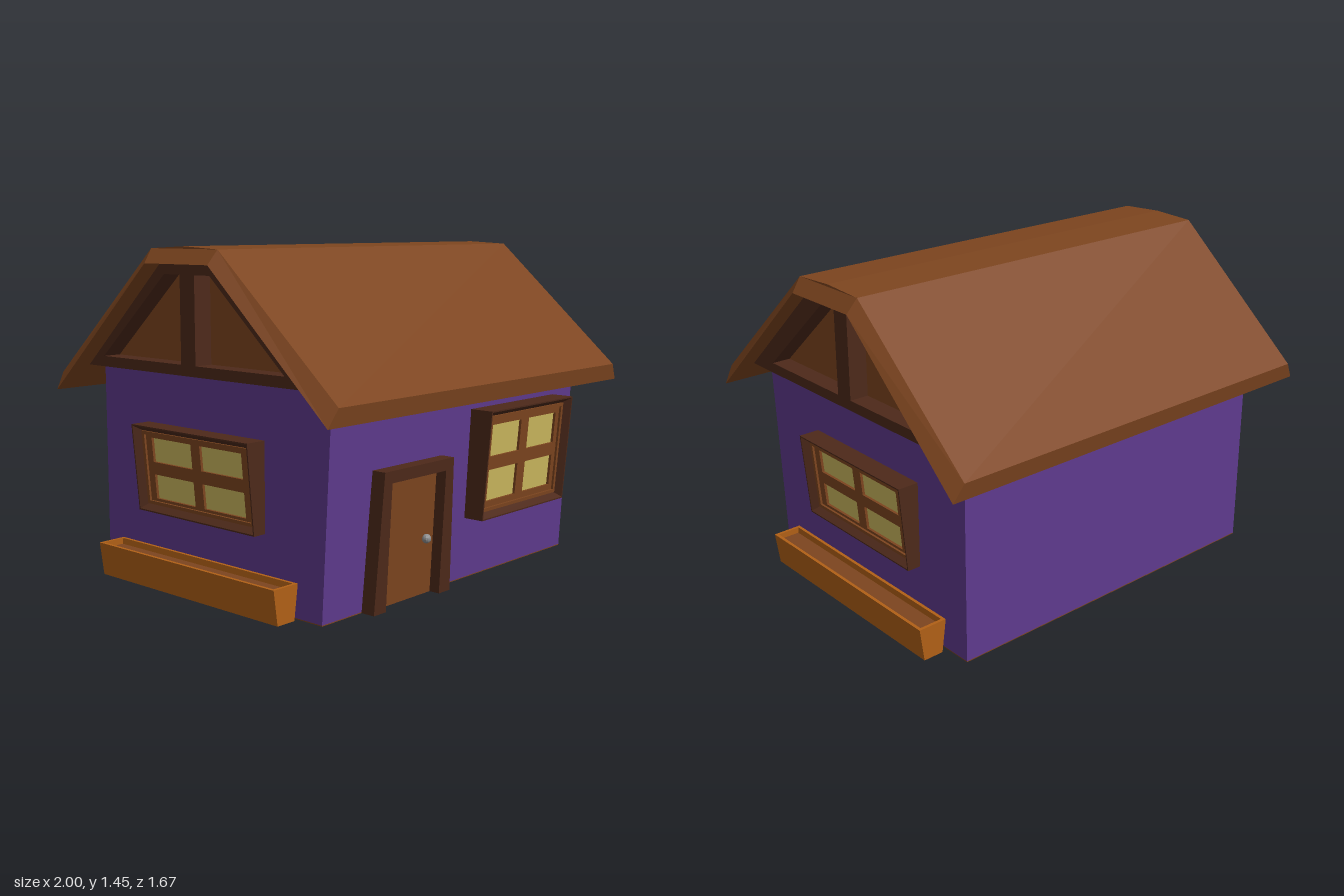
import * as THREE from 'three';

const material = (color) => new THREE.MeshStandardMaterial({ color, flatShading: true });
const brown = material(0x7d451f);
const dark = material(0x4d291a);
const purple = material(0x5f3a8e);
const yellow = material(0xcdb95e);
const orange = material(0xb06016);
const grey = material(0x8c8c8c);

function part(name, geometry, mat, parent) {
  const mesh = new THREE.Mesh(geometry, mat);
  mesh.name = name;
  parent.add(mesh);
  return mesh;
}

const points = (list) => list.map(([x, y]) => new THREE.Vector2(x, y));

// Flat outline with holes, extruded from z0 to z1
function slab(outline, holes, z0, z1) {
  const shape = new THREE.Shape(points(outline));
  for (const h of holes) shape.holes.push(new THREE.Path(points(h)));
  const g = new THREE.ExtrudeGeometry(shape, { depth: z1 - z0, bevelEnabled: false });
  return g.translate(0, 0, z0);
}

// Profile given as [z, y], extruded along x
function alongX(profile, holes, x0, x1) {
  const flip = (list) => list.map(([z, y]) => [-z, y]);
  return slab(flip(profile), holes.map(flip), x0, x1).rotateY(Math.PI / 2);
}

const rect = (x0, y0, x1, y1) => [[x0, y0], [x1, y0], [x1, y1], [x0, y1]];

// Skin through rectangular rings [halfWidth, halfHeight, z], optionally capped at the start
function loft(rings, capStart) {
  const corners = rings.map(([w, h, z]) => [[w, h, z], [-w, h, z], [-w, -h, z], [w, -h, z]]);
  const pos = [];
  const quad = (a, b, c, d) => pos.push(...a, ...b, ...c, ...a, ...c, ...d);
  for (let r = 0; r + 1 < corners.length; r++) {
    const a = corners[r], b = corners[r + 1];
    for (let i = 0; i < 4; i++) {
      const j = (i + 1) % 4;
      quad(a[i], a[j], b[j], b[i]);
    }
  }
  if (capStart) quad(...[...corners[0]].reverse());
  const g = new THREE.BufferGeometry();
  g.setAttribute('position', new THREE.Float32BufferAttribute(pos, 3));
  g.computeVertexNormals();
  return g;
}

// Move each vertex by a rule
function warp(g, rule) {
  const p = g.attributes.position, v = new THREE.Vector3();
  for (let i = 0; i < p.count; i++) {
    rule(v.fromBufferAttribute(p, i));
    p.setXYZ(i, v.x, v.y, v.z);
  }
  g.computeVertexNormals();
  return g;
}

const lean = (g, slope) => warp(g, (v) => { v.z += slope * v.y; });

// Leaning window: splayed surround, casement with four panes, glass
function makeWindow(name, w, h, mx, my, bar) {
  const group = new THREE.Group();
  group.name = name;
  const W = w / 2, H = h / 2, slope = 0.09, b = bar / 2;
  part('surround', lean(loft([
    [W, H, -0.11], [W, H, 0], [W - 0.006, H - 0.006, 0], [W - 0.03, H - 0.03, -0.04],
  ]), slope), dark, group);
  const holes = [];
  for (const [x0, x1] of [[mx - W, -b], [b, W - mx]])
    for (const [y0, y1] of [[my - H, -b], [b, H - my]])
      holes.push(rect(x0, y0, x1, y1));
  const i = 0.028, m = 0.043;
  part('casement', lean(slab(rect(i - W, i - H, W - i, H - i), holes, -0.06, -0.038), slope), brown, group);
  part('moulding', lean(slab(rect(i - W, i - H, W - i, H - i),
    [rect(m - W, m - H, W - m, H - m)], -0.05, -0.028), slope), brown, group);
  part('glass', lean(slab(rect(m - W, m - H, W - m, H - m), [], -0.07, -0.05), slope), yellow, group);
  return group;
}

export function createModel() {
  const house = new THREE.Group();
  house.name = 'cottage';

  // Walls with a front that leans outward, and the floor
  part('walls', alongX([[0.635, 0.004], [0.69, 0.925], [-0.685, 0.925], [-0.685, 0.004]], [], -0.835, 0.835),
    purple, house);
  part('floor', alongX(rect(-0.685, 0, 0.635, 0.004), [], -0.835, 0.835), brown, house);

  // Attic filling and the timber frame on each gable
  const gable = [[0.69, 0.925], [0.19, 1.378], [-0.19, 1.378], [-0.685, 0.925]];
  part('attic', alongX(gable, [], -0.835, 0.835), brown, house);
  const openings = [
    [[0.525, 0.97], [0.02, 0.97], [0.02, 1.335], [0.11, 1.335]],
    [[-0.068, 0.97], [-0.58, 0.97], [-0.165, 1.335], [-0.068, 1.335]],
  ];
  for (const x of [-0.92, 0.83]) part('gableFrame', alongX(gable, openings, x, x + 0.09), dark, house);

  // Roof shell, whose upper skin is shorter than its underside so the ends are bevelled
  const roof = alongX([
    [0.833, 0.885], [0.2, 1.44], [0, 1.45], [-0.2, 1.44], [-0.833, 0.885],
    [-0.82, 0.81], [-0.19, 1.38], [0.19, 1.38], [0.82, 0.81],
  ], [], -1, 1);
  warp(roof, (v) => {
    if (v.y > 1.4 || Math.abs(v.z) > 0.825) v.x = Math.sign(v.x) * 0.955;
  });
  part('roof', roof, brown, house);

  // Door: splayed frame, panel and knob
  const door = new THREE.Group();
  door.name = 'door';
  door.position.set(-0.36, 0, 0.7);
  house.add(door);
  part('doorFrame', lean(slab([
    [-0.245, 0], [-0.172, 0], [-0.172, 0.53], [0.172, 0.53],
    [0.172, 0], [0.245, 0], [0.22, 0.58], [-0.22, 0.58],
  ], [], -0.075, 0), 0.06), dark, door);
  part('doorPanel', lean(slab(rect(-0.172, 0, 0.172, 0.53), [], -0.075, -0.05), 0.06), brown, door);
  part('doorKnob', new THREE.SphereGeometry(0.02, 12, 8), grey, door).position.set(0.117, 0.243, -0.025);

  // Front window
  const frontWindow = makeWindow('frontWindow', 0.63, 0.48, 0.07, 0.07, 0.058);
  frontWindow.position.set(0.365, 0.515, 0.768);
  house.add(frontWindow);

  // Side windows and planters
  for (const s of [-1, 1]) {
    const sideWindow = makeWindow('sideWindow', 0.715, 0.378, 0.08, 0.055, 0.055);
    sideWindow.position.set(s * 0.913, 0.503, -0.032);
    sideWindow.rotation.y = s * Math.PI / 2;
    house.add(sideWindow);

    const planter = new THREE.Group();
    planter.name = 'planter';
    planter.position.set(s * 0.914, 0, -0.025);
    house.add(planter);
    part('planterBox', loft([
      [0.046, 0.543, 0.005], [0.066, 0.543, 0.152], [0.052, 0.529, 0.152], [0.049, 0.529, 0.12],
    ], true).rotateX(-Math.PI / 2), orange, planter);
    part('soil', new THREE.BoxGeometry(0.098, 0.01, 1.06), brown, planter).position.y = 0.121;
  }
  return house;
}
